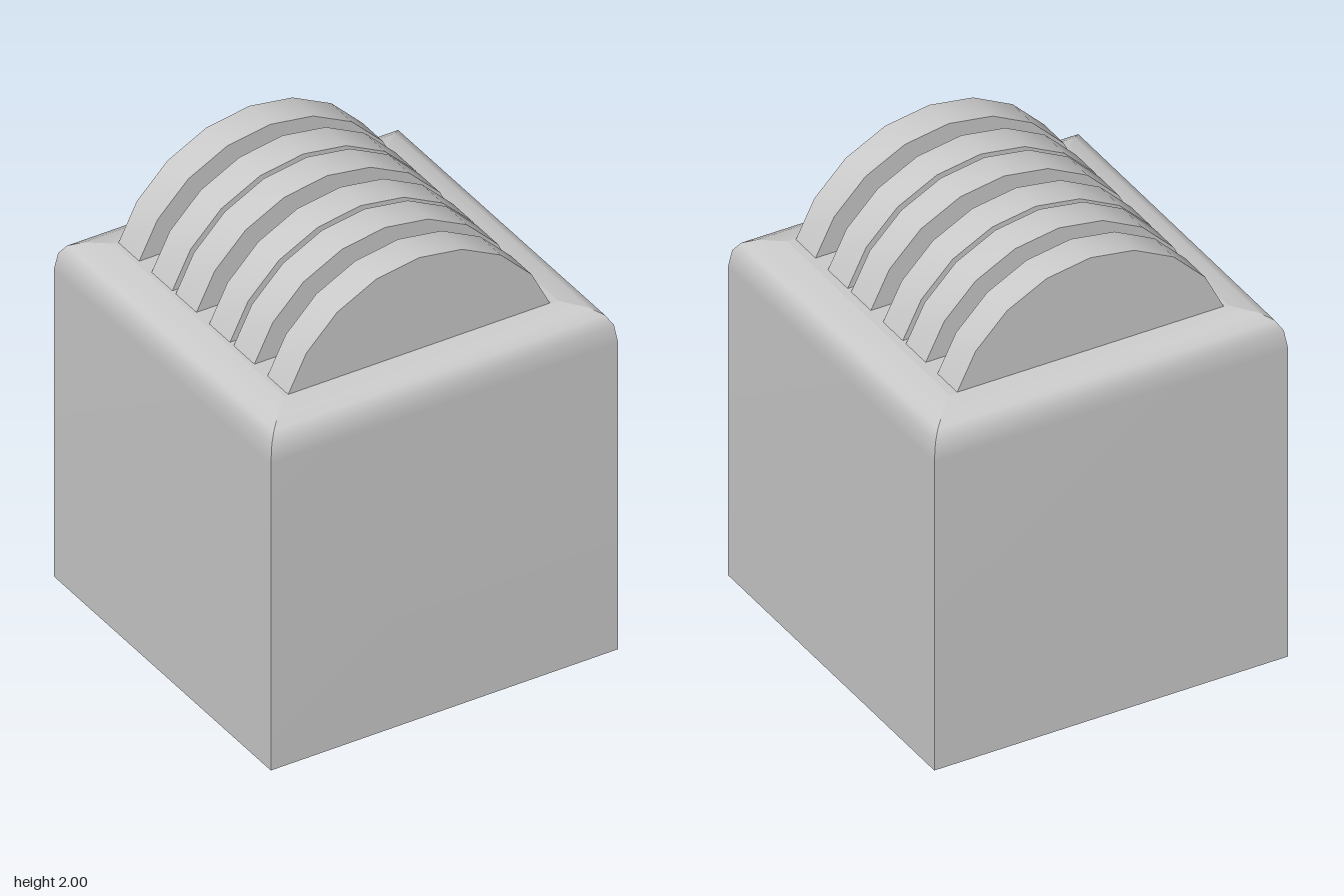
import * as THREE from 'three';
import { toCreasedNormals } from 'three/addons/utils/BufferGeometryUtils.js';

const HALF = 0.787;
const material = new THREE.MeshStandardMaterial({ color: 0xcccccc, side: THREE.DoubleSide });

// Half-width and height of the body, from the open bottom up over the rounded rim
const profile = [
  [HALF, 0], [HALF, 1.42], [0.775, 1.5], [0.75, 1.54], [0.705, 1.565], [0.62, 1.578],
];

// One wall facing +z, with mitred ends so four of them close the body
function wallGeometry() {
  const positions = [];
  const index = [];
  profile.forEach(([w, y], i) => {
    positions.push(-w, y, w, w, y, w);
    if (i > 0) {
      const a = 2 * (i - 1);
      index.push(a, a + 1, a + 3, a, a + 3, a + 2);
    }
  });
  const geometry = new THREE.BufferGeometry();
  geometry.setAttribute('position', new THREE.Float32BufferAttribute(positions, 3));
  geometry.setIndex(index);
  geometry.computeVertexNormals();
  return geometry;
}

// Circular segment: eight steps of 18 degrees, its foot sunk just below the top
function finGeometry(thickness) {
  const radius = 0.631;
  const points = [];
  for (let i = -4; i <= 4; i++) {
    const a = (i * Math.PI) / 10;
    points.push(new THREE.Vector2(-radius * Math.sin(a), 1.369 + radius * Math.cos(a)));
  }
  const geometry = new THREE.ExtrudeGeometry(new THREE.Shape(points.reverse()), {
    depth: thickness, bevelEnabled: false,
  });
  return toCreasedNormals(geometry, 0.5);
}

export function createModel() {
  const model = new THREE.Group();
  model.name = 'boxWithFins';

  // Hollow body, open underneath
  const body = new THREE.Group();
  body.name = 'body';
  const wall = wallGeometry();
  ['frontWall', 'leftWall', 'backWall', 'rightWall'].forEach((name, i) => {
    const mesh = new THREE.Mesh(wall, material);
    mesh.name = name;
    mesh.rotation.y = (i * Math.PI) / 2;
    body.add(mesh);
  });
  const [topHalf, topY] = profile[profile.length - 1];
  const top = new THREE.Mesh(new THREE.PlaneGeometry(2 * topHalf, 2 * topHalf), material);
  top.name = 'topPanel';
  top.rotation.x = -Math.PI / 2;
  top.position.y = topY;
  body.add(top);
  model.add(body);

  // Row of unevenly spaced fins
  const fins = new THREE.Group();
  fins.name = 'fins';
  const fin = finGeometry(0.15);
  [-0.615, -0.375, -0.2, 0.043, 0.22, 0.465].forEach((z, i) => {
    const mesh = new THREE.Mesh(fin, material);
    mesh.name = `fin${i + 1}`;
    mesh.position.set(-0.008, 0, z);
    fins.add(mesh);
  });
  model.add(fins);

  return model;
}
